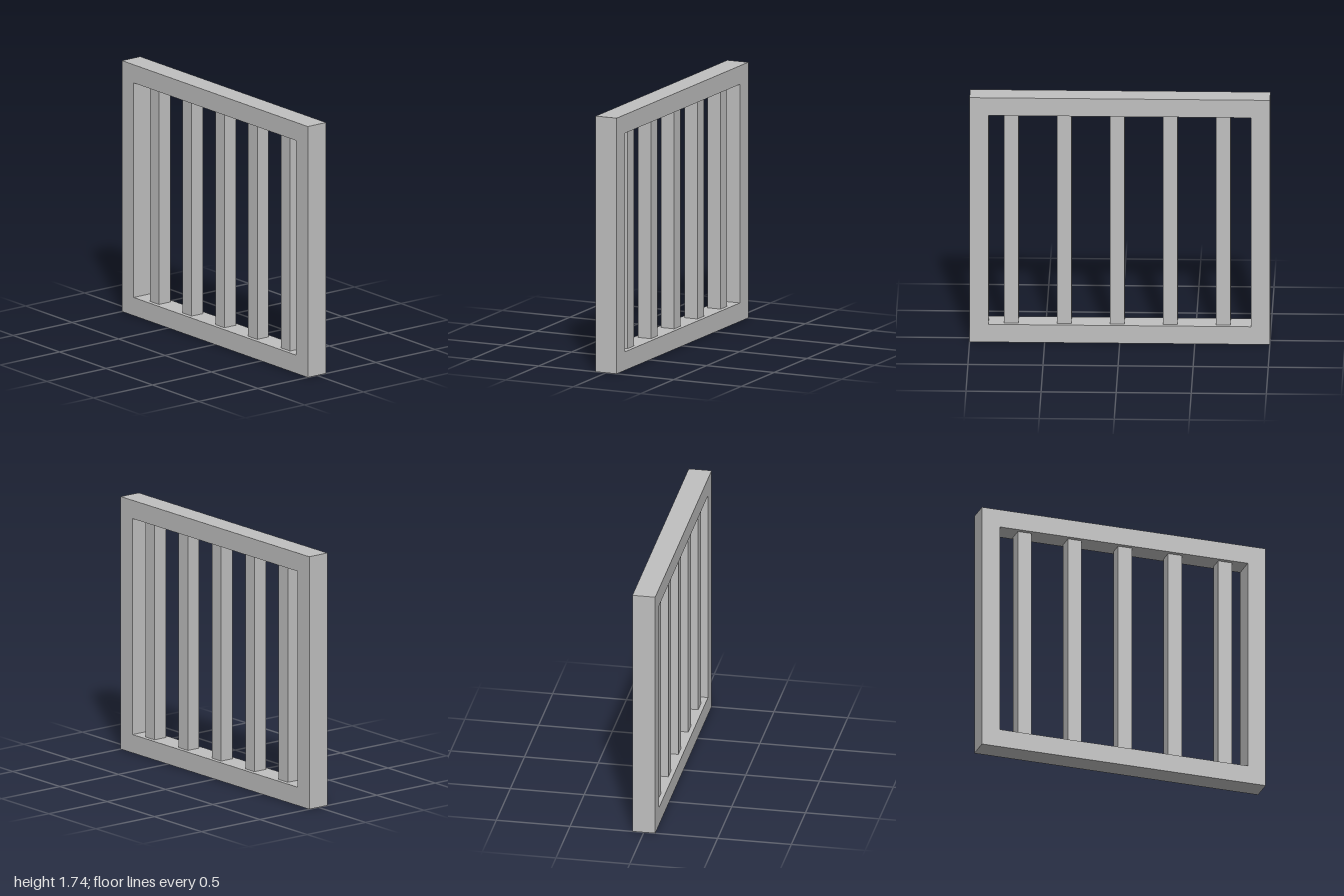
import * as THREE from 'three';

const W = 2, H = 1.74, D = 0.155, RIM = 0.126; // frame size and rim width
const BAR = 0.097, PITCH = 0.353, BAR_MID = 0.018; // square bars, set slightly off centre

function rectangle(PathType, x, y0, y1) {
  return new PathType([[-x, y0], [x, y0], [x, y1], [-x, y1]].map(([a, b]) => new THREE.Vector2(a, b)));
}

export function createModel() {
  const group = new THREE.Group();
  group.name = 'barredWindow';
  const metal = new THREE.MeshStandardMaterial({ color: 0xc0c0c0 });
  metal.name = 'grey metal';

  // Outer frame with a rectangular opening
  const outline = rectangle(THREE.Shape, W / 2, 0, H);
  outline.holes.push(rectangle(THREE.Path, W / 2 - RIM, RIM, H - RIM));
  const frameGeometry = new THREE.ExtrudeGeometry(outline, { depth: D, bevelEnabled: false });
  frameGeometry.translate(0, 0, -D / 2);
  const frame = new THREE.Mesh(frameGeometry, metal);
  frame.name = 'frame';
  group.add(frame);

  // Five upright bars filling the opening
  const barGeometry = new THREE.BoxGeometry(BAR, H - 2 * RIM, BAR);
  for (let i = -2; i <= 2; i++) {
    const bar = new THREE.Mesh(barGeometry, metal);
    bar.name = `bar${i + 3}`;
    bar.position.set(BAR_MID + i * PITCH, H / 2, 0);
    group.add(bar);
  }
  return group;
}
